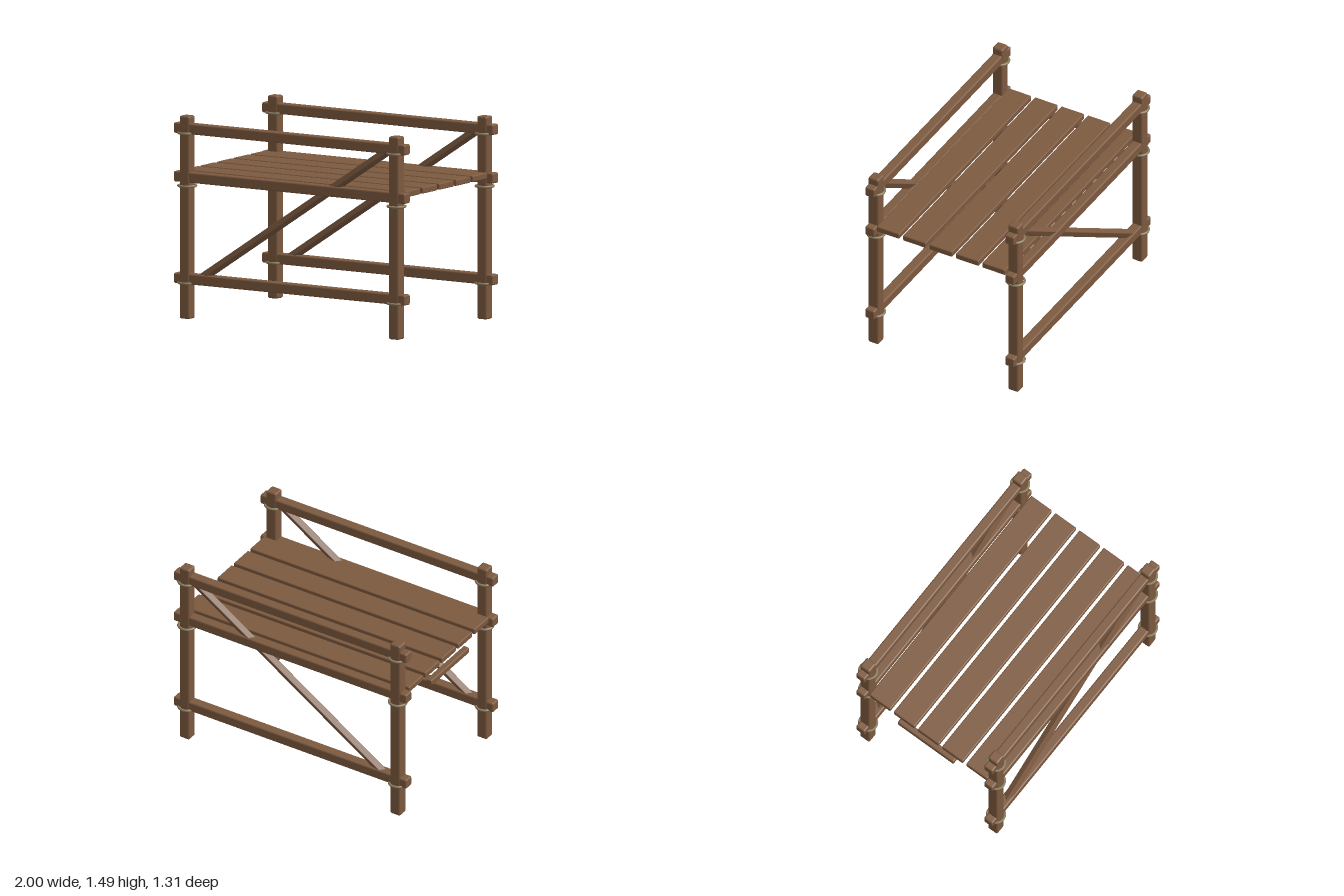
import * as THREE from 'three';
import { RoundedBoxGeometry } from 'three/addons/geometries/RoundedBoxGeometry.js';

export function createModel() {
  const model = new THREE.Group();
  model.name = 'scaffoldPlatform';

  const wood = new THREE.MeshStandardMaterial({ color: 0x7d5a40 });
  wood.name = 'brown wood';
  const rope = new THREE.MeshStandardMaterial({ color: 0x8a7d5c });
  rope.name = 'tan rope';

  // Softened timber of a given size, centred at a position
  function timber(name, size, position, bevel = 0.012) {
    const mesh = new THREE.Mesh(new RoundedBoxGeometry(...size, 2, bevel), wood);
    mesh.name = name;
    mesh.position.set(...position);
    model.add(mesh);
    return mesh;
  }

  const postX = 0.905, sideZ = 0.582;
  const ringGeometry = new THREE.TorusGeometry(0.064, 0.0095, 8, 28).rotateX(Math.PI / 2);

  // Diagonal brace end points in the plane of each long side
  const low = new THREE.Vector2(-0.83, 0.27);
  const high = new THREE.Vector2(0.83, 1.37);
  const span = high.clone().sub(low);

  for (const side of [1, -1]) {
    const z = side * sideZ;
    const label = side > 0 ? 'front' : 'back';

    // Posts with rope lashings below each rail
    for (const x of [-postX, postX]) {
      timber(label + 'Post', [0.086, 1.485, 0.086], [x, 0.7425, z], 0.014);
      for (const y of [0.262, 0.972, 1.358]) {
        const ring = new THREE.Mesh(ringGeometry, rope);
        ring.name = label + 'Lashing';
        ring.position.set(x, y, z);
        model.add(ring);
      }
    }

    // Horizontal rails
    for (const y of [0.293, 1.037, 1.392]) {
      timber(label + 'Rail', [2, 0.077, 0.077], [0, y, z]);
    }

    // Diagonal brace, rolled a little about its own length
    const brace = timber(label + 'Brace', [span.length(), 0.05, 0.05],
      [(low.x + high.x) / 2, (low.y + high.y) / 2, z], 0.006);
    brace.rotation.set(-0.47, 0, span.angle(), 'ZYX');
  }

  // Deck planks
  for (let i = 0; i < 5; i++) {
    timber('deckPlank', [1.93, 0.046, 0.19], [0, 1.058, -0.43 + i * 0.22], 0.008);
  }

  // Short cross bar under the right end of the deck
  timber('crossBar', [0.05, 0.046, 0.51], [-0.96, 0.968, 0], 0.01);

  return model;
}
